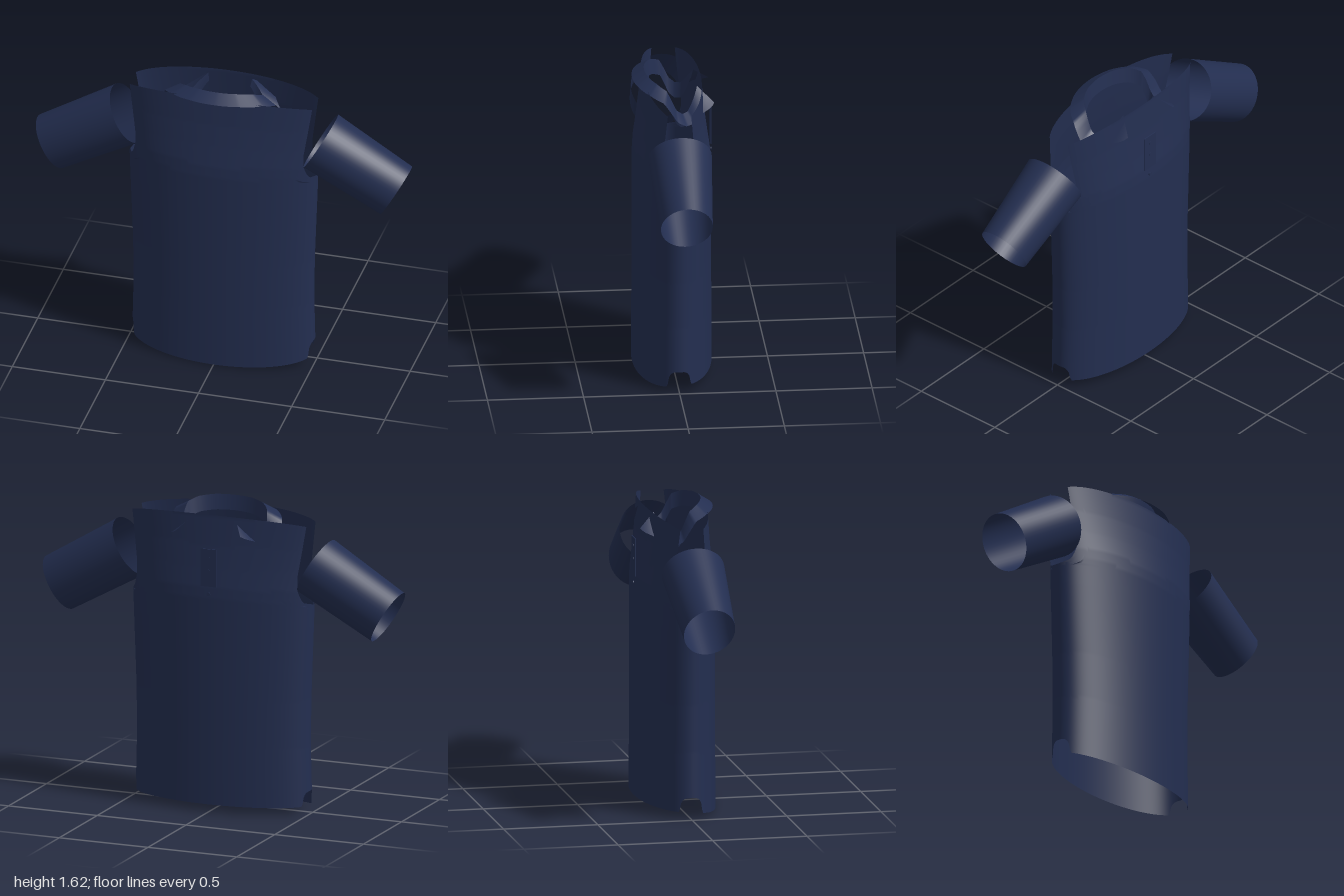
import * as THREE from 'three';
import { ParametricGeometry } from 'three/addons/geometries/ParametricGeometry.js';

// Piecewise linear lookup through [key, value] pairs
function lookup(table, k) {
  if (k <= table[0][0]) return table[0][1];
  for (let i = 1; i < table.length; i++) {
    const [k0, v0] = table[i - 1], [k1, v1] = table[i];
    if (k <= k1) return v0 + (v1 - v0) * (k - k0) / (k1 - k0);
  }
  return table[table.length - 1][1];
}

// Body section by height: half width, half depth and where the armhole cuts the side
const WIDTH = [[0, 0.49], [0.35, 0.482], [0.6, 0.485], [1.0, 0.5], [1.15, 0.505], [1.57, 0.535]];
const DEPTH = [[0, 0.205], [1.14, 0.201], [1.2, 0.197], [1.3, 0.182], [1.42, 0.166], [1.57, 0.152]];
const ARMHOLE = [[1.1, 1], [1.115, 0.488], [1.15, 0.467], [1.2, 0.452], [1.27, 0.451], [1.4, 0.47], [1.54, 0.49]];

// Collar fold height by angle from the nape, in degrees
const FOLD = [[0, 1.615], [25, 1.613], [50, 1.602], [72, 1.578], [82, 1.53], [92, 1.475],
  [105, 1.45], [118, 1.455], [135, 1.51], [150, 1.56]];

export function createModel() {
  const group = new THREE.Group();
  const navy = new THREE.MeshStandardMaterial({ color: 0x232e50, side: THREE.DoubleSide });
  navy.name = 'navy cloth';

  function add(name, geometry, parent = group) {
    const mesh = new THREE.Mesh(geometry, navy);
    mesh.name = name;
    parent.add(mesh);
    return mesh;
  }

  // Half of the body tube, with curved hem, side vent and armhole edges
  function panel(side) {
    return new ParametricGeometry((u, v, p) => {
      const c = u * 2 - 1;
      const hemZ = 0.205 * Math.cos(c * Math.PI / 2);
      const vent = Math.max(0, 1 - Math.pow(hemZ / 0.06, 4));
      const hem = side > 0 ? 0.03 - 0.03 * Math.max(0, hemZ - 0.06) / 0.145 : 0.04;
      const bottom = hem + (0.115 - hem) * Math.sqrt(vent);
      const top = 1.575 - 0.035 * c * c;
      const y = bottom + (top - bottom) * v;
      const a = lookup(WIDTH, y), b = lookup(DEPTH, y);
      const edge = y < 1.1 ? a : Math.min(a, lookup(ARMHOLE, y));
      const t = c * Math.asin(edge / a);
      p.set(side * a * Math.sin(t), y, side * b * Math.cos(t));
    }, 96, 80);
  }
  add('frontPanel', panel(1));
  add('backPanel', panel(-1));

  // Tapered open sleeves, slightly flattened towards the cuff
  for (const side of [1, -1]) {
    const pivot = new THREE.Group();
    pivot.name = side > 0 ? 'leftSleeve' : 'rightSleeve';
    pivot.rotation.y = side > 0 ? 0 : Math.PI;
    const sleeve = new ParametricGeometry((u, v, p) => {
      const t = u * Math.PI * 2;
      const r = 0.163 - 0.009 * v, d = 0.165 - 0.03 * v;
      p.set(v * 0.468, r * Math.cos(t), d * Math.sin(t));
    }, 48, 6);
    sleeve.rotateZ(-0.525);
    sleeve.translate(0.52, 1.322, 0);
    add('sleeveTube', sleeve, pivot);
    group.add(pivot);
  }

  // Collar rails: outer falling edge, fold and inner stand edge
  function rail(kind, deg) {
    const t = deg * Math.PI / 180, d = Math.abs(deg), y = lookup(FOLD, d);
    const tip = THREE.MathUtils.smoothstep(d, 125, 150);
    const [rx, rz, drop] = {
      outer: [0.315 + 0.045 * tip, 0.205 + 0.035 * tip, 0.04 + 0.03 * tip],
      fold: [0.235, 0.142, 0],
      inner: [0.22, 0.13, 0.08 - 0.04 * tip],
    }[kind];
    return new THREE.Vector3(rx * Math.sin(t), y - drop, rz * Math.cos(t));
  }
  function strip(from, to) {
    return new ParametricGeometry((u, v, p) => {
      const deg = (u * 2 - 1) * 150;
      p.lerpVectors(rail(from, deg), rail(to, deg), v);
    }, 80, 3);
  }
  add('collarFall', strip('outer', 'fold'));
  add('collarStand', strip('fold', 'inner'));

  // Button placket on the buttoned side
  const placket = add('placket', new THREE.BoxGeometry(0.09, 0.2, 0.006));
  placket.position.set(0, 1.305, -0.203);
  for (const y of [1.36, 1.29, 1.165]) {
    const button = add('button', new THREE.CylinderGeometry(0.01, 0.01, 0.005, 16));
    button.rotation.x = Math.PI / 2;
    button.position.set(0, y, -0.206);
  }
  return group;
}
